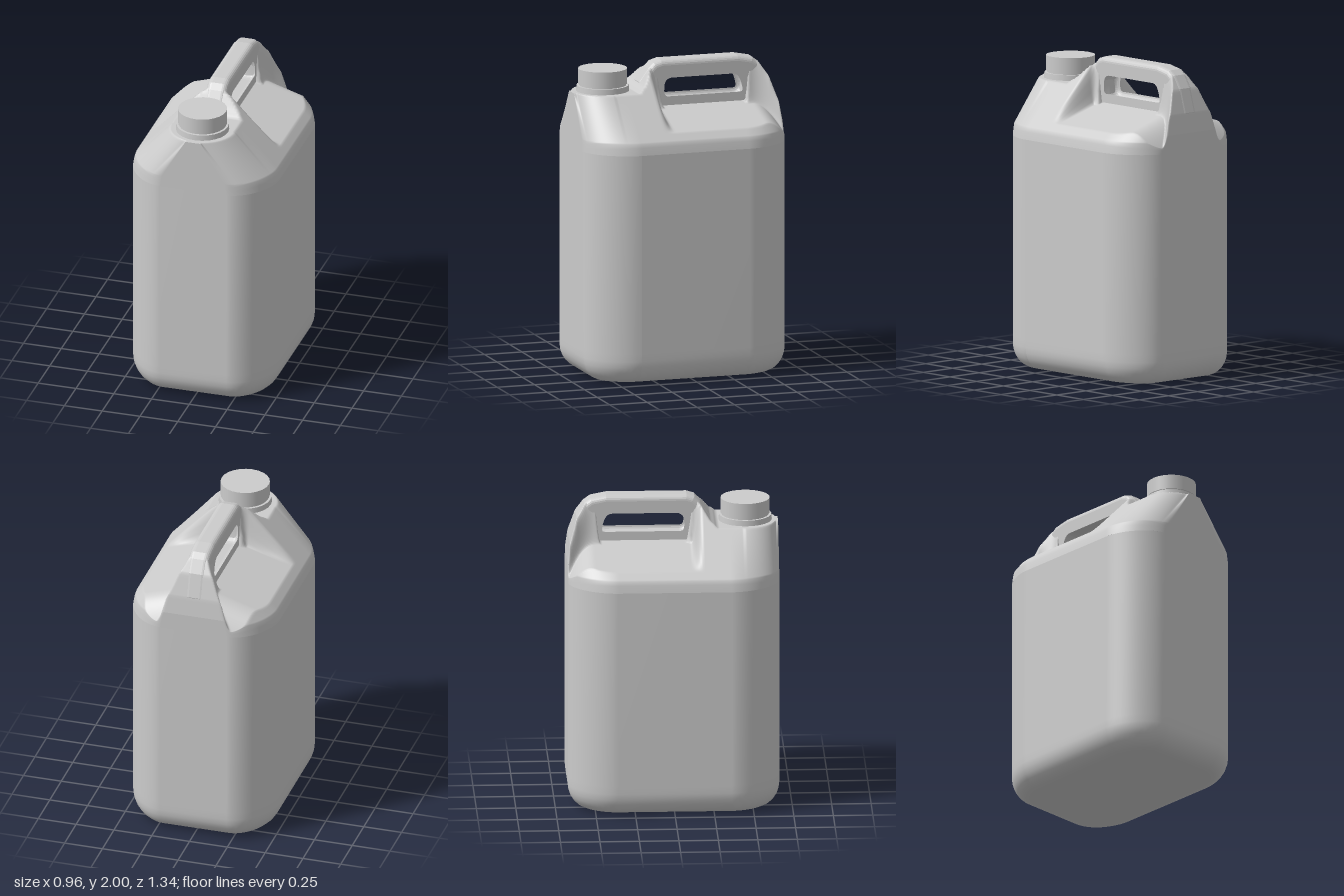
import * as THREE from 'three';

const material = new THREE.MeshStandardMaterial({ color: 0xcccccc, side: THREE.DoubleSide });
const HALF_X = 0.48, HALF_Z = 0.67, FLAT_X = 0.22, FLAT_Z = 0.36, POWER = 1.8;
const SHOULDER = 1.48;

// Crest of the handle seen from the side, as [z, y] from back to front
const CREST = [
  [-0.67, 1.6], [-0.655, 1.72], [-0.61, 1.87], [-0.56, 1.95], [-0.52, 1.98], [-0.42, 2],
  [0.09, 2], [0.14, 1.985], [0.175, 1.95], [0.235, 1.865], [0.28, 1.82], [0.67, 1.82],
];

function crestHeight(z) {
  for (let i = 1; i < CREST.length; i++) {
    const [z0, y0] = CREST[i - 1], [z1, y1] = CREST[i];
    if (z <= z1) return y0 + (y1 - y0) * Math.max(0, (z - z0) / (z1 - z0));
  }
  return CREST[CREST.length - 1][1];
}

// Half width of the rounded footprint at depth z
function footprintWidth(z) {
  const s = Math.min(1, Math.max(0, (Math.abs(z) - FLAT_Z) / (HALF_Z - FLAT_Z)));
  return FLAT_X + (HALF_X - FLAT_X) * Math.pow(Math.max(0, 1 - Math.pow(s, POWER)), 1 / POWER);
}

// Half width of the shoulder where it reaches the height of the neck platform
function platformWidth(z) {
  if (z > 0.45) return Math.max(0.05, 0.21 * Math.sqrt(Math.max(0, 1 - ((z - 0.45) / 0.21) ** 2)));
  return Math.min(0.205, footprintWidth(z) * 0.45);
}

// Height of the upper shell: sloping shoulders, crest, and the hand recesses cut into them
function shellHeight(x, z) {
  const ax = Math.abs(x), step = THREE.MathUtils.smoothstep;
  const outer = footprintWidth(z);
  const t = (outer - ax) / (outer - platformWidth(z));
  const crest = crestHeight(z) - (z < 0.25 ? 0.006 : 0);
  const roof = Math.min(1.535 + 0.285 * t, SHOULDER + 6 * (outer - ax), crest);
  const back = Math.max(0, -0.5 - z);
  const floor = 1.73 - 0.31 * ax - 5 * back * back;
  const wall = 0.045 + 5 * back * back;
  const recess = step(ax, wall, wall + 0.07) * step(0.18 - z, 0, 0.06);
  const gap = step(0.13 - z, 0, 0.04) * step(z + 0.5, 0, 0.04);
  return roof + (Math.min(roof, floor) - roof) * Math.max(recess, gap);
}

// Smooth surface from a rule giving the point at row j, column i
function gridSurface(rows, cols, point) {
  const positions = [], index = [];
  for (let j = 0; j <= rows; j++) {
    for (let i = 0; i <= cols; i++) {
      positions.push(...point(j, i));
      if (j < rows && i < cols) {
        const a = j * (cols + 1) + i, b = a + cols + 1;
        index.push(a, b, a + 1, b, b + 1, a + 1);
      }
    }
  }
  const geometry = new THREE.BufferGeometry();
  geometry.setAttribute('position', new THREE.Float32BufferAttribute(positions, 3));
  geometry.setIndex(index);
  geometry.computeVertexNormals();
  return geometry;
}

// Rounded rectangle ring, pulled in by inset
function footprintRing(inset) {
  const ring = [], n = 12;
  for (let q = 0; q < 4; q++) {
    const sx = q === 0 || q === 3 ? 1 : -1, sz = q < 2 ? 1 : -1;
    for (let k = 0; k <= n; k++) {
      const a = (q % 2 ? n - k : k) / n * Math.PI / 2;
      const c = Math.pow(Math.max(0, Math.cos(a)), 2 / POWER), s = Math.pow(Math.sin(a), 2 / POWER);
      ring.push([sx * (FLAT_X + (HALF_X - FLAT_X - inset) * c), sz * (FLAT_Z + (HALF_Z - FLAT_Z - inset) * s)]);
    }
  }
  ring.push(ring[0]);
  return ring;
}

export function createModel() {
  const model = new THREE.Group();
  const add = (name, geometry, y = 0, z = 0) => {
    const mesh = new THREE.Mesh(geometry, material);
    mesh.name = name;
    mesh.position.set(0, y, z);
    model.add(mesh);
    return mesh;
  };

  // Lower body: flat base, rounded bottom edge, straight walls
  const levels = [{ y: 0, inset: 0.125, scale: 0 }, { y: 0, inset: 0.125, scale: 0.97 }];
  for (let k = 0; k <= 6; k++) {
    const a = k / 6 * Math.PI / 2;
    levels.push({ y: 0.15 * (1 - Math.cos(a)), inset: 0.125 * (1 - Math.sin(a)), scale: 1 });
  }
  levels.push({ y: 0.2, inset: 0, scale: 1 }, { y: SHOULDER, inset: 0, scale: 1 });
  const rings = levels.map((l) => footprintRing(l.inset).map(([x, z]) => [x * l.scale, l.y, z * l.scale]));
  add('lowerBody', gridSurface(rings.length - 1, rings[0].length - 1, (j, i) => rings[j][i]));

  // Upper shell with shoulders, neck platform and hand recesses
  const ROWS = 160, COLS = 120;
  add('upperShell', gridSurface(ROWS, COLS, (j, i) => {
    const z = HALF_Z * Math.sin((j / ROWS - 0.5) * Math.PI);
    const x = (i / COLS * 2 - 1) * footprintWidth(z);
    return [x, shellHeight(x, z), z];
  }));

  // Upright front and back faces closing the shell
  for (const side of [1, -1]) {
    add(side > 0 ? 'frontFace' : 'backFace', gridSurface(1, COLS, (j, i) => {
      const x = side * FLAT_X * (1 - i / COLS * 2), z = side * HALF_Z;
      return [x, j ? shellHeight(x, z) : SHOULDER, z];
    }));
  }

  // Handle: rounded plate following the crest, with a grip opening
  const profile = new THREE.Shape();
  profile.moveTo(-0.63, 1.62);
  CREST.slice(1, 10).forEach(([z, y]) => profile.lineTo(z, y));
  profile.lineTo(0.235, 1.65);
  const opening = new THREE.Path();
  opening.moveTo(0.05, 1.73);
  opening.lineTo(-0.42, 1.73);
  opening.quadraticCurveTo(-0.49, 1.73, -0.48, 1.8);
  opening.quadraticCurveTo(-0.46, 1.92, -0.38, 1.92);
  opening.lineTo(0.03, 1.92);
  opening.quadraticCurveTo(0.11, 1.91, 0.11, 1.82);
  opening.quadraticCurveTo(0.115, 1.735, 0.05, 1.73);
  profile.holes.push(opening);
  const plate = new THREE.ExtrudeGeometry(profile, {
    depth: 0.07, curveSegments: 8, bevelEnabled: true,
    bevelSize: 0.035, bevelThickness: 0.035, bevelOffset: -0.035, bevelSegments: 5,
  });
  plate.translate(0, 0, -0.035);
  add('handle', plate).rotation.y = -Math.PI / 2;

  // Neck collar, neck and screw cap
  const NECK_Z = 0.463;
  add('neckCollar', new THREE.CylinderGeometry(0.166, 0.17, 0.045, 24), 1.833, NECK_Z);
  add('neck', new THREE.CylinderGeometry(0.15, 0.15, 0.06, 24), 1.86, NECK_Z);
  add('cap', new THREE.CylinderGeometry(0.156, 0.156, 0.097, 24), 1.915, NECK_Z);

  return model;
}
